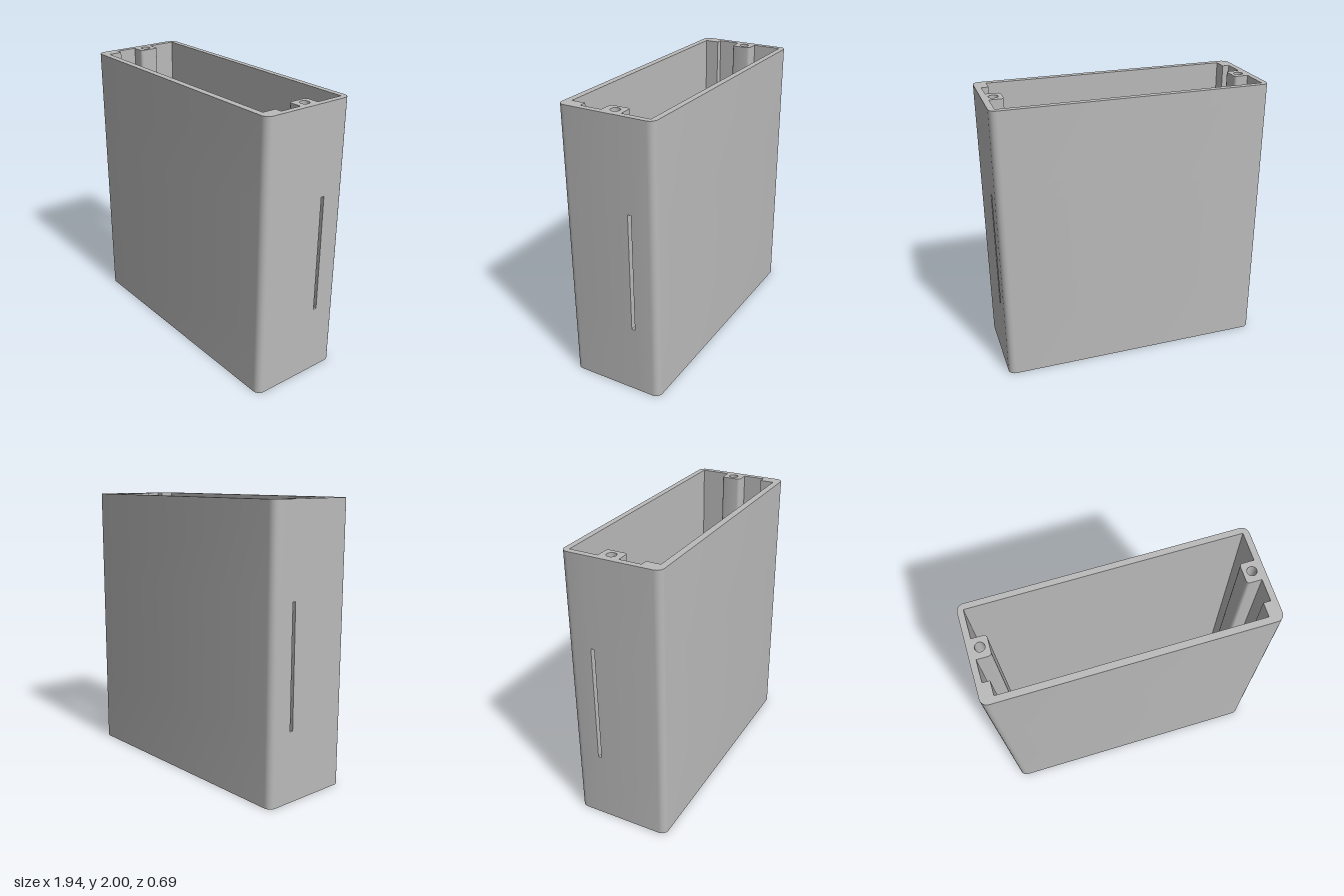
import * as THREE from 'three';
import { mergeGeometries, toCreasedNormals } from 'three/addons/utils/BufferGeometryUtils.js';

// Main dimensions
const W = 0.972, D = 0.347, H = 2, R = 0.05;   // outer half width, half depth, height, corner radius
const IN = 0.93;                               // inner half width
const FLOOR = 0.1, LEDGE = 0.05;               // floor top and board groove bottom
const G0 = 0.16, G1 = 0.2;                     // board groove, front and back in z
const SZ0 = -0.17, SZ1 = -0.145, SY0 = 0.5, SY1 = 1.36; // side slots
const BOSS_X = 0.89, BOSS_Z = -0.03, SCREW_R = 0.033, SCREW_BOTTOM = 1.4;
const PORT_Z = -0.145, PORTS = [[-0.17, 0.165], [-0.63, -0.3]]; // square ports in x

// Points [x, z] of an arc, angles in quarter turns from +x towards +z
function arc(cx, cz, r, q0, q1, n = 6) {
  const pts = [];
  for (let i = 0; i <= n; i++) {
    const a = (q0 + (q1 - q0) * i / n) * Math.PI / 2;
    pts.push([cx + r * Math.cos(a), cz + r * Math.sin(a)]);
  }
  return pts;
}

const mirror = (pts) => pts.map(([x, z]) => [-x, z]).reverse();
const close = (pts) => [...pts, pts[0]];
const rect = (x0, x1, z0, z1) => [[x0, z0], [x1, z0], [x1, z1], [x0, z1]];

// Vertical wall along a path; its face points to the right of travel seen in x, z
function wall(path, y0, y1, skip = () => false) {
  const pos = [];
  for (let i = 0; i + 1 < path.length; i++) {
    const [a, b] = [path[i], path[i + 1]];
    if (skip(a, b)) continue;
    const p = (q, y) => [q[0], y, q[1]];
    pos.push(...p(a, y0), ...p(b, y0), ...p(b, y1), ...p(a, y0), ...p(b, y1), ...p(a, y1));
  }
  const g = new THREE.BufferGeometry();
  g.setAttribute('position', new THREE.Float32BufferAttribute(pos, 3));
  return g;
}

// Horizontal face at height y with optional holes
function plate(outline, holes, y, up = true) {
  const vec = (pts) => pts.map(([x, z]) => new THREE.Vector2(x, -z));
  const shape = new THREE.Shape(vec(outline));
  holes.forEach((h) => shape.holes.push(new THREE.Path(vec(h))));
  const indexed = new THREE.ShapeGeometry(shape);
  if (!up) indexed.index.array.reverse();
  const g = indexed.toNonIndexed().rotateX(-Math.PI / 2).translate(0, y, 0);
  g.deleteAttribute('normal');
  g.deleteAttribute('uv');
  return g;
}

// True for the wall piece that a side slot cuts away
const inSlot = (a, b) => Math.abs(a[0]) > 0.9 && Math.abs(b[0]) > 0.9 &&
  Math.abs((a[1] + b[1]) / 2 - (SZ0 + SZ1) / 2) < 0.001;

// Wall loop in three bands, with the slots left open in the middle one
const slottedWall = (loop, y0) => [
  wall(loop, y0, SY0), wall(loop, SY0, SY1, inSlot), wall(loop, SY1, H),
];

export function createModel() {
  const group = new THREE.Group();
  const grey = new THREE.MeshStandardMaterial({ color: 0xbababa });
  grey.name = 'light grey';
  const add = (name, parts) => {
    const mesh = new THREE.Mesh(toCreasedNormals(mergeGeometries(parts), 0.6), grey);
    mesh.name = name;
    group.add(mesh);
  };

  // Outlines, drawn for +x and mirrored
  const outerHalf = [
    ...arc(W - R, -D + R, R, 3, 4), [W, SZ0], [W, SZ1],
    ...arc(W - R, D - R, R, 0, 1),
  ];
  const outer = [...outerHalf, ...mirror(outerHalf)];
  const backHalf = [
    [IN, -0.305], [IN, SZ0], [IN, SZ1], [IN, -0.1],
    ...arc(0.85, -0.08, 0.02, 3, 2, 4), ...arc(0.85, 0.025, 0.02, 2, 1, 4),
    [IN, 0.045], [IN, G0],
  ];
  const innerHalf = [...backHalf, [IN, G1], [0.88, G1], [0.88, 0.3]];
  const inner = [...innerHalf, ...mirror(innerHalf)];

  // Openings
  const roundPort = [
    ...arc(0.53, -0.155, 0.05, 0, 1), ...arc(0.32, -0.155, 0.05, 1, 2),
    ...arc(0.32, -0.235, 0.05, 2, 3), ...arc(0.53, -0.235, 0.05, 3, 4),
  ];
  const squarePorts = PORTS.map(([x0, x1]) => rect(x0, x1, PORT_Z, G0));
  const screws = [-1, 1].map((s) => arc(s * BOSS_X, BOSS_Z, SCREW_R, 0, 4, 24).slice(0, -1));

  // Shell
  add('outerShell', slottedWall(close(outer).reverse(), 0));
  add('innerWallsAndScrewPosts', slottedWall(close(inner), FLOOR));
  add('topRim', [plate(outer, [inner, ...screws], H)]);
  add('basePlate', [plate(outer, [roundPort, ...squarePorts], 0, false)]);

  // Floor, notched by the square ports
  const notches = PORTS.flatMap(([x0, x1]) => [[x1, G0], [x1, PORT_Z], [x0, PORT_Z], [x0, G0]]);
  add('floor', [
    plate([...backHalf, ...notches, ...mirror(backHalf)], [roundPort], FLOOR),
    plate(rect(-0.88, 0.88, G1, 0.3), [], FLOOR),
  ]);

  // Groove that holds the board edge
  const grooveEdges = [[-IN, -0.63], [-0.3, -0.17], [0.165, IN]];
  add('boardGroove', [
    plate(rect(-IN, IN, G0, G1), [], LEDGE),
    ...grooveEdges.map(([x0, x1]) => wall([[x0, G0], [x1, G0]], LEDGE, FLOOR)),
    wall([[IN, G0], [IN, G1], [-IN, G1], [-IN, G0]], LEDGE, FLOOR),
  ]);

  // Sides of the port openings
  add('roundedPort', [wall(close(roundPort), 0, FLOOR)]);
  squarePorts.forEach(([a, b, c, d]) => add('squarePort', [
    wall([d, a, b, c], 0, FLOOR), wall([c, d], 0, LEDGE),
  ]));

  // Screw holes
  screws.forEach((c) => add('screwHole', [
    wall(close(c), SCREW_BOTTOM, H), plate(c, [], SCREW_BOTTOM),
  ]));

  // Side slots through the end walls
  [[IN, W], [-W, -IN]].forEach(([x0, x1]) => {
    const cut = rect(x0, x1, SZ0, SZ1);
    add('sideSlot', [
      wall([[x0, SZ0], [x1, SZ0]], SY0, SY1), wall([[x1, SZ1], [x0, SZ1]], SY0, SY1),
      plate(cut, [], SY0), plate(cut, [], SY1, false),
    ]);
  });

  return group;
}
